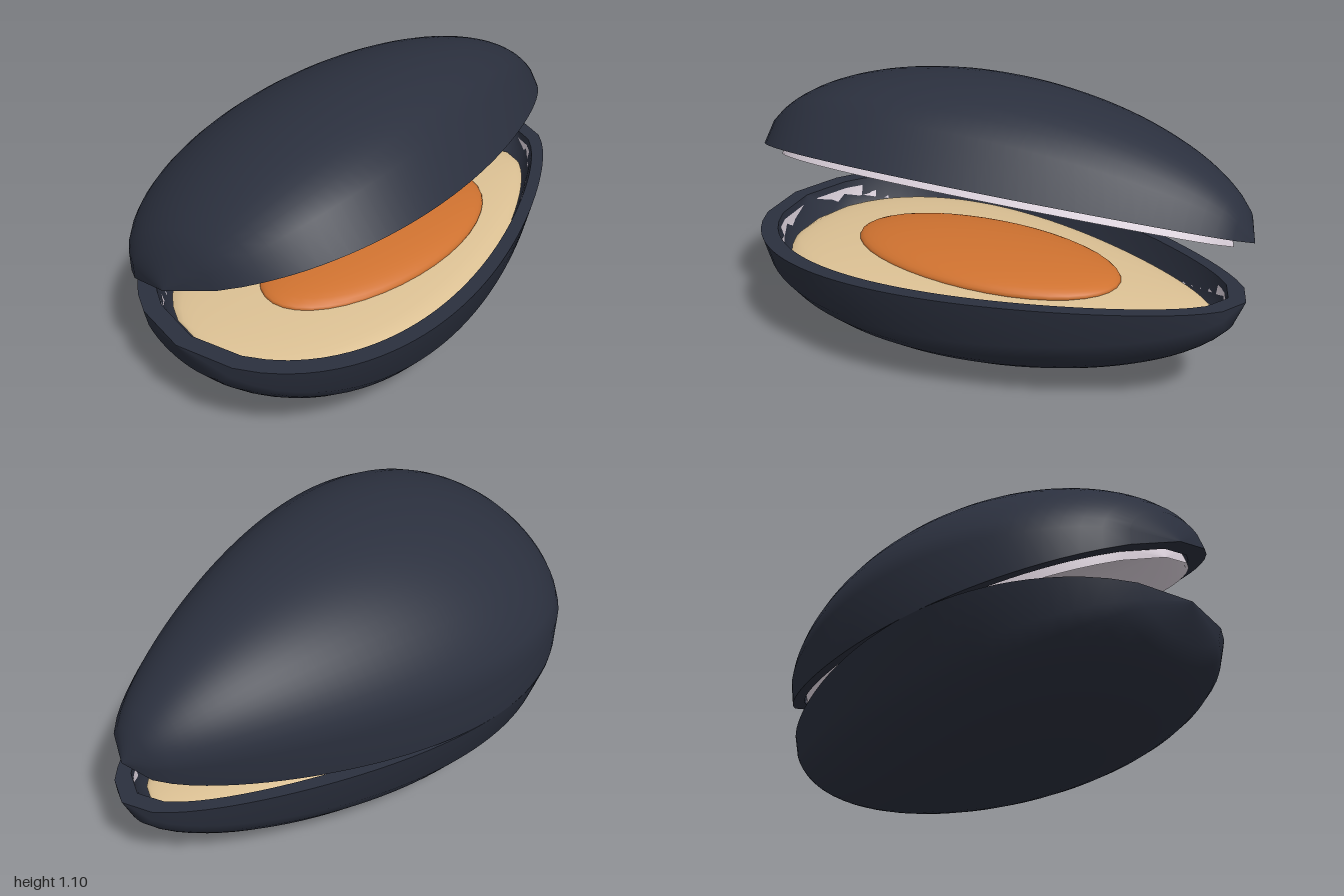
import * as THREE from 'three';

const RIM_Y = 0.435, HALF_WIDTH = 0.59, OPENING = 0.36;
const NU = 22, NV = 44;

const paint = (color) => new THREE.MeshStandardMaterial({ color, roughness: 0.7, side: THREE.DoubleSide });

// Teardrop half width and depth along the shell, t from -1 (pointed back) to 1 (round front)
const arch = (t) => Math.sqrt(Math.max(0, 1 - t * t));
const halfWidth = (t) => 0.557 * arch(t) * (1 + 0.37 * t);
const depthAt = (t) => 0.433 * Math.pow(arch(t), 1.08) * (1 + 0.07 * t);

// Smooth surface from a grid of points; f(u, v) with u and v in -1..1
function surface(nu, nv, f, flip) {
  const pos = [], index = [];
  for (let j = 0; j <= nv; j++)
    for (let i = 0; i <= nu; i++) pos.push(...f((2 * i) / nu - 1, (2 * j) / nv - 1));
  for (let j = 0; j < nv; j++)
    for (let i = 0; i < nu; i++) {
      const a = j * (nu + 1) + i, b = a + 1, c = a + nu + 1, d = c + 1;
      index.push(...(flip ? [a, c, b, b, c, d] : [a, b, c, b, d, c]));
    }
  const g = new THREE.BufferGeometry();
  g.setAttribute('position', new THREE.Float32BufferAttribute(pos, 3));
  g.setIndex(index);
  g.computeVertexNormals();
  return g;
}

// Bowl (up = -1) or lid (up = 1), scaled in width, depth and length
const dome = (up, sx, sy, sz, inward) => surface(NU, NV,
  (u, v) => [sx * u * halfWidth(v), sy * up * depthAt(v) * arch(u), sz * v], (up > 0) !== inward);

// Flat edge between the outside of the shell and its lining, one side at a time
const rim = (side, up) => surface(1, NV, (u, v) => {
  const inner = u < 0;
  return [side * halfWidth(v) * (inner ? 0.9 : 1), 0, v * (inner ? 0.935 : 1)];
}, (side > 0) === (up < 0));

function part(parent, name, geometry, material) {
  const mesh = new THREE.Mesh(geometry, material);
  mesh.name = name;
  parent.add(mesh);
  return mesh;
}

export function createModel() {
  const model = new THREE.Group();
  model.name = 'openShell';
  const shellMat = paint(0x2b303e), liningMat = paint(0xd8ced8);
  const bodyMat = paint(0xdcc194), meatMat = paint(0xcf7230);

  // One half: outside, rim, dark inner wall and pale lining
  function half(name, up) {
    const g = new THREE.Group();
    g.name = name;
    part(g, 'outerShell', dome(up, 1, 1, 1, false), shellMat);
    part(g, 'innerWall', dome(up, 0.9, 0.92, 0.935, true), shellMat);
    for (const side of [-1, 1]) part(g, 'shellRim', rim(side, up), shellMat);
    part(g, 'lining', dome(up, 0.89, 0.84, 0.93, true), liningMat).position.y = -0.028;
    return g;
  }

  const lower = half('lowerShell', -1);
  lower.position.y = RIM_Y;
  model.add(lower);

  // Upper half swings open about the hinge on the -x side
  const hinge = new THREE.Group();
  hinge.name = 'hinge';
  hinge.position.set(-HALF_WIDTH, RIM_Y, 0);
  hinge.rotation.z = OPENING;
  const upper = half('upperShell', 1);
  upper.position.x = HALF_WIDTH;
  hinge.add(upper);
  model.add(hinge);

  // Soft body: a shallow pad with an orange cushion on top
  part(model, 'softBody', dome(1, 0.85, 0.14, 0.88, false), bodyMat).position.y = 0.34;
  const cushion = part(model, 'orangeMeat', new THREE.SphereGeometry(1, 40, 24), meatMat);
  cushion.scale.set(0.29, 0.068, 0.56);
  cushion.position.set(0.035, 0.387, 0.03);

  return model;
}
